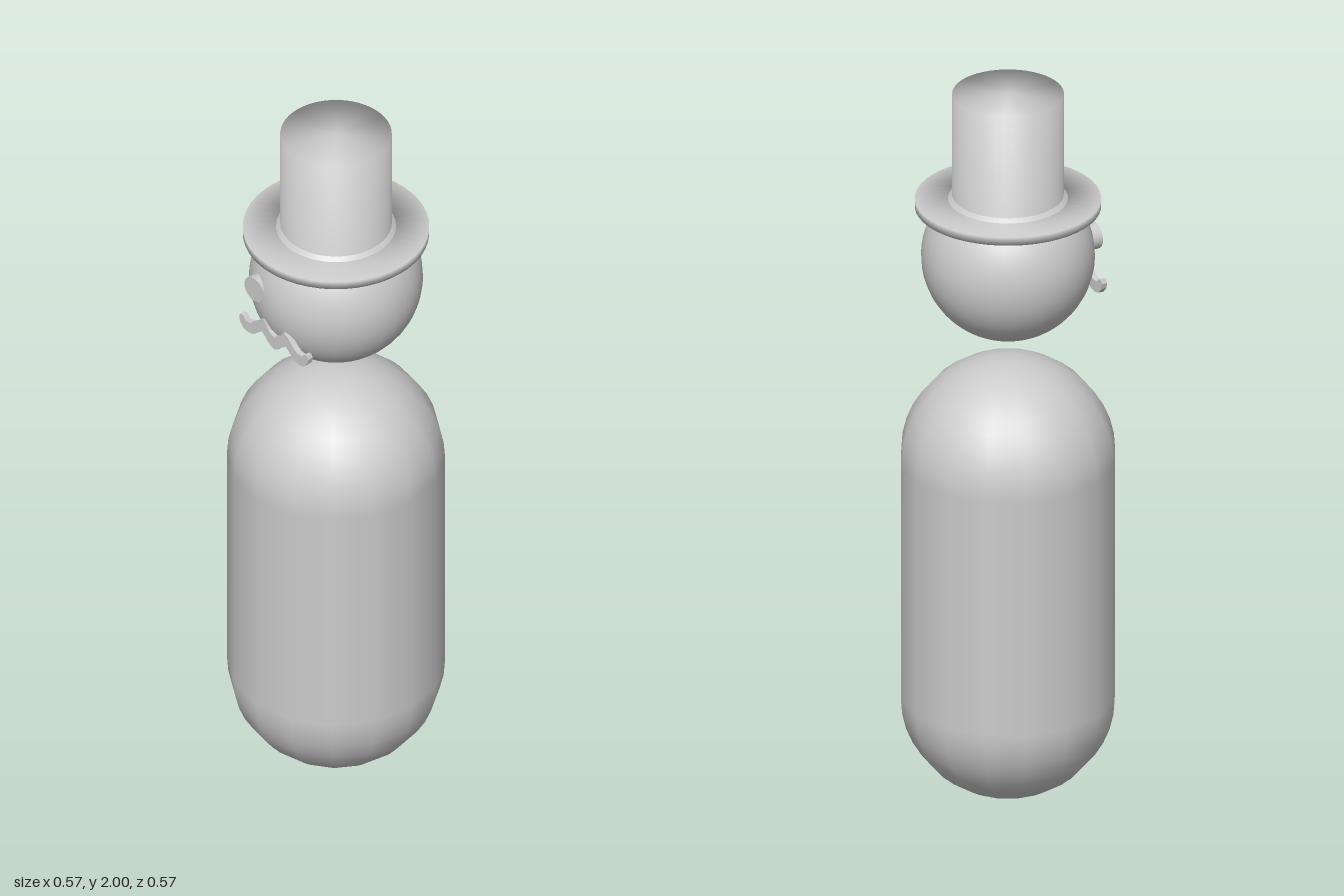
import * as THREE from 'three';

const material = new THREE.MeshStandardMaterial({ color: 0xcccccc });

function add(group, name, geometry, x, y, z) {
  const mesh = new THREE.Mesh(geometry, material);
  mesh.name = name;
  mesh.position.set(x, y, z);
  group.add(mesh);
  return mesh;
}

// Wavy moustache outline: one half given, the other mirrored
function moustacheShape() {
  const upper = [[0, 1.452], [0.02, 1.462], [0.038, 1.488], [0.052, 1.48], [0.07, 1.462],
    [0.088, 1.449], [0.105, 1.447], [0.116, 1.459], [0.126, 1.46]];
  const lower = [[0.131, 1.45], [0.127, 1.434], [0.114, 1.419], [0.096, 1.415], [0.078, 1.419],
    [0.06, 1.434], [0.046, 1.446], [0.034, 1.438], [0.018, 1.422], [0, 1.413]];
  const half = [...upper, ...lower];
  const mirrored = half.slice(1, -1).reverse().map(([x, y]) => [-x, y]);
  return new THREE.Shape([...half, ...mirrored].map(([x, y]) => new THREE.Vector2(x, y)));
}

export function createModel() {
  const model = new THREE.Group();
  model.name = 'gentlemanFigure';

  // Capsule body with sixteen sides
  const radius = 0.283;
  const bottom = 0.003, top = 1.238;
  add(model, 'body', new THREE.CapsuleGeometry(radius, top - bottom - 2 * radius, 10, 16),
    0, (bottom + top) / 2, 0);

  // Floating round head
  add(model, 'head', new THREE.SphereGeometry(0.226, 40, 28), 0, 1.537, 0);

  // Top hat, turned in one piece with soft shading over its edges
  const hatProfile = [[0, 1.677], [0.242, 1.677], [0.242, 1.7], [0.145, 1.7], [0.145, 2], [0, 2]];
  add(model, 'topHat',
    new THREE.LatheGeometry(hatProfile.map(([r, y]) => new THREE.Vector2(r, y)), 48), 0, 0, 0);

  // Monocle disc over the model's right eye
  const monocle = new THREE.CylinderGeometry(0.036, 0.036, 0.03, 32).rotateX(Math.PI / 2);
  add(model, 'monocle', monocle, -0.075, 1.566, 0.207);

  // Flat moustache standing just off the face
  const moustache = new THREE.ExtrudeGeometry(moustacheShape(), { depth: 0.016, bevelEnabled: false });
  add(model, 'moustache', moustache, 0, 0, 0.206);

  return model;
}
